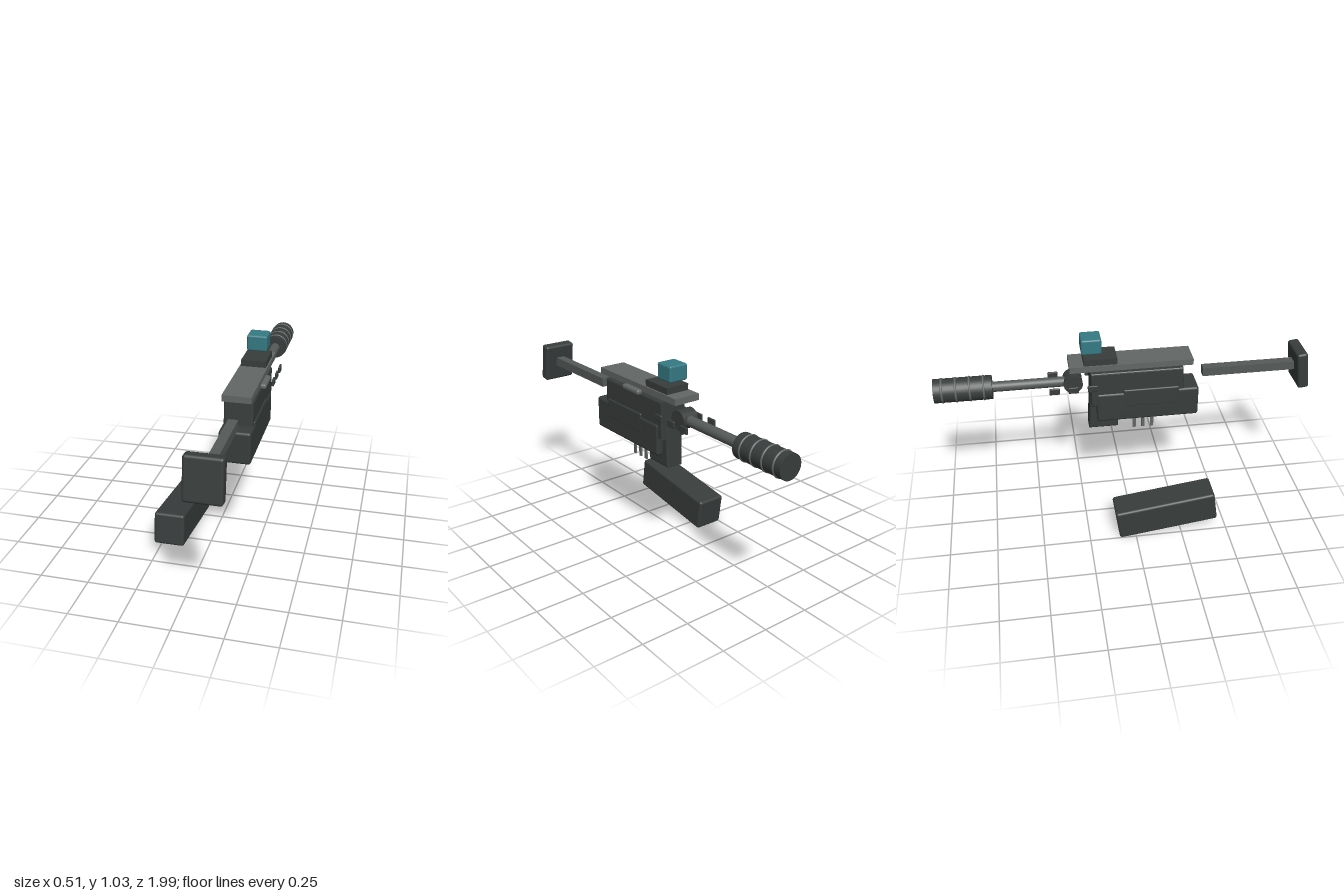
import * as THREE from 'three';
import { RoundedBoxGeometry } from 'three/addons/geometries/RoundedBoxGeometry.js';

const AXIS_X = 0.153; // all parts but the magazine share this centre plane
const BORE_Y = 0.778;

export function createModel() {
  const model = new THREE.Group();
  model.name = 'explodedBlaster';

  const dark = new THREE.MeshStandardMaterial({ color: 0x383d3c });
  const steel = new THREE.MeshStandardMaterial({ color: 0x626765 });
  const barrelGrey = new THREE.MeshStandardMaterial({ color: 0x555a58 });
  const teal = new THREE.MeshStandardMaterial({ color: 0x357a84 });

  const add = (name, geometry, material, x, y, z) => {
    const mesh = new THREE.Mesh(geometry, material);
    mesh.name = name;
    mesh.position.set(x, y, z);
    model.add(mesh);
    return mesh;
  };
  const box = (name, size, pos, material, radius = 0) =>
    add(name, radius ? new RoundedBoxGeometry(...size, 3, radius) : new THREE.BoxGeometry(...size), material, ...pos);

  // Side profile of [z, y] points, extruded across x with a small bevel
  const plate = (name, points, width, material, bevel = 0.01) => {
    const shape = new THREE.Shape(points.map(([z, y]) => new THREE.Vector2(z, y)));
    const geometry = new THREE.ExtrudeGeometry(shape, {
      depth: width - 2 * bevel, bevelEnabled: true, bevelSize: bevel,
      bevelThickness: bevel, bevelOffset: -bevel, bevelSegments: 3,
    });
    geometry.translate(0, 0, -(width / 2 - bevel));
    geometry.rotateY(-Math.PI / 2);
    return add(name, geometry, material, AXIS_X, 0, 0);
  };

  // Receiver
  box('lowerReceiver', [0.16, 0.17, 0.549], [AXIS_X, 0.64, 0.1115], dark, 0.014);
  plate('upperReceiver', [[0.312, 0.65], [0.298, 0.85], [-0.192, 0.85], [-0.192, 0.65]], 0.148, dark);
  box('sidePanel', [0.162, 0.102, 0.3], [AXIS_X, 0.691, 0.129], dark, 0.008);
  plate('grip', [[-0.048, 0.497], [-0.205, 0.497], [-0.194, 0.72], [-0.048, 0.72]], 0.094, dark);
  box('chargingHandle', [0.035, 0.029, 0.14], [0.234, 0.857, 0.045], steel, 0.012);

  // Top rail and sight
  box('topRail', [0.145, 0.033, 0.65], [AXIS_X, 0.88, 0.025], steel);
  box('sightBase', [0.13, 0.034, 0.175], [AXIS_X, 0.913, -0.1375], dark);
  box('sight', [0.106, 0.084, 0.106], [AXIS_X, 0.995, -0.182], teal, 0.01);

  // Pins below the receiver
  for (const z of [0.146, 0.097, 0.048]) {
    box('pin', [0.008, 0.12, 0.018], [AXIS_X, 0.511, z], steel);
  }

  // Stock
  box('stockRod', [0.048, 0.048, 0.51], [AXIS_X, 0.782, 0.671], barrelGrey);
  box('buttPad', [0.18, 0.212, 0.06], [AXIS_X, 0.778, 0.952], dark, 0.014).rotation.x = -0.14;

  // Barrel group
  const rod = (name, radius, length, pos, material) => add(
    name, new THREE.CylinderGeometry(radius, radius, length, 32).rotateX(Math.PI / 2), material, ...pos);
  const pivot = rod('barrelPivot', 0.05, 0.086, [AXIS_X, BORE_Y, -0.281], dark);
  pivot.rotation.y = Math.PI / 2;
  rod('barrel', 0.027, 0.42, [AXIS_X, BORE_Y, -0.5], barrelGrey);
  rod('suppressor', 0.063, 0.3, [AXIS_X, BORE_Y, -0.85], dark);
  for (let i = 0; i < 4; i++) {
    add('suppressorRing', new THREE.TorusGeometry(0.061, 0.006, 10, 40), steel, AXIS_X, BORE_Y, -0.744 - i * 0.071);
  }

  // Floating side clips, mirrored on both sides of the barrel
  for (const side of [-1, 1]) {
    for (const z of [-0.183, -0.283, -0.382]) {
      box('sideClip', [0.012, 0.036, 0.054], [AXIS_X + side * 0.085, 0.771, z], dark, 0.005);
    }
  }

  // Detached magazine
  box('magazine', [0.159, 0.171, 0.541], [-0.175, 0.123, 0.168], dark, 0.014).rotation.x = -0.14;

  return model;
}
